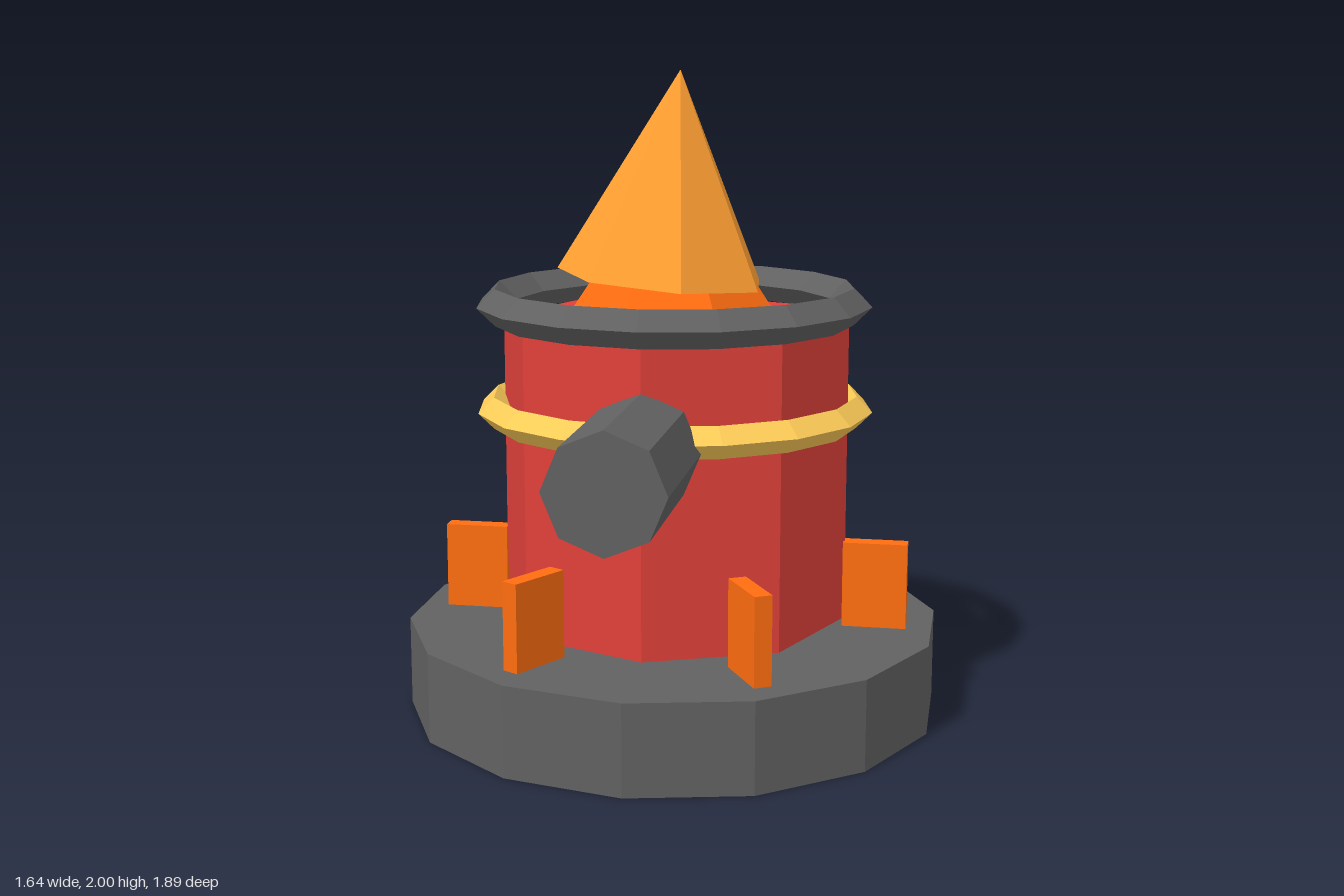
import * as THREE from 'three';

const mat = (color) => new THREE.MeshStandardMaterial({ color, flatShading: true });

export function createModel() {
  const group = new THREE.Group();
  const dark = mat(0x616161), red = mat(0xe0403a), gold = mat(0xffcc58);
  const orange = mat(0xff6d10), amber = mat(0xffa032);
  const axisZ = -0.105; // the tower stands behind the centre, the barrel reaches forward

  const add = (name, geometry, material, x, y, z) => {
    const mesh = new THREE.Mesh(geometry, material);
    mesh.name = name;
    mesh.position.set(x, y, z);
    group.add(mesh);
    return mesh;
  };

  // Base and body
  add('base', new THREE.CylinderGeometry(0.84, 0.84, 0.28, 14), dark, 0, 0.14, axisZ);
  add('body', new THREE.CylinderGeometry(0.545, 0.545, 0.935, 8), red, 0, 0.7675, axisZ);

  // Hoops with a diamond section
  const hoop = (name, radius, tube, material, y, z) => {
    const geometry = new THREE.TorusGeometry(radius, tube, 4, 16).rotateX(Math.PI / 2);
    return add(name, geometry, material, 0, y, z);
  };
  hoop('topRim', 0.558, 0.057, dark, 1.287, axisZ);
  hoop('middleBand', 0.571, 0.049, gold, 0.957, -0.12).scale.z = 0.98;

  // Barrel pointing forward
  const barrel = new THREE.CylinderGeometry(0.172, 0.172, 0.53, 8).rotateX(Math.PI / 2);
  add('barrel', barrel, dark, 0, 0.927, 0.685);

  // Six fins around the foot of the body
  for (let i = 0; i < 6; i++) {
    const a = (i * Math.PI) / 3;
    const fin = add('fin', new THREE.BoxGeometry(0.2, 0.27, 0.055), orange,
      Math.cos(a) * 0.64, 0.415, axisZ + Math.sin(a) * 0.64);
    fin.rotation.y = -a;
  }

  // Inner cone, with the larger leaning cone over it
  const inner = add('innerCone', new THREE.ConeGeometry(0.342, 0.5, 7), orange, 0, 1.49, axisZ);
  inner.rotation.y = 0.57;
  const roof = add('roofCone', new THREE.ConeGeometry(0.33, 0.637, 7), amber, -0.007, 1.683, axisZ);
  roof.rotation.set(0, 0.342, -0.085, 'ZYX');

  return group;
}
